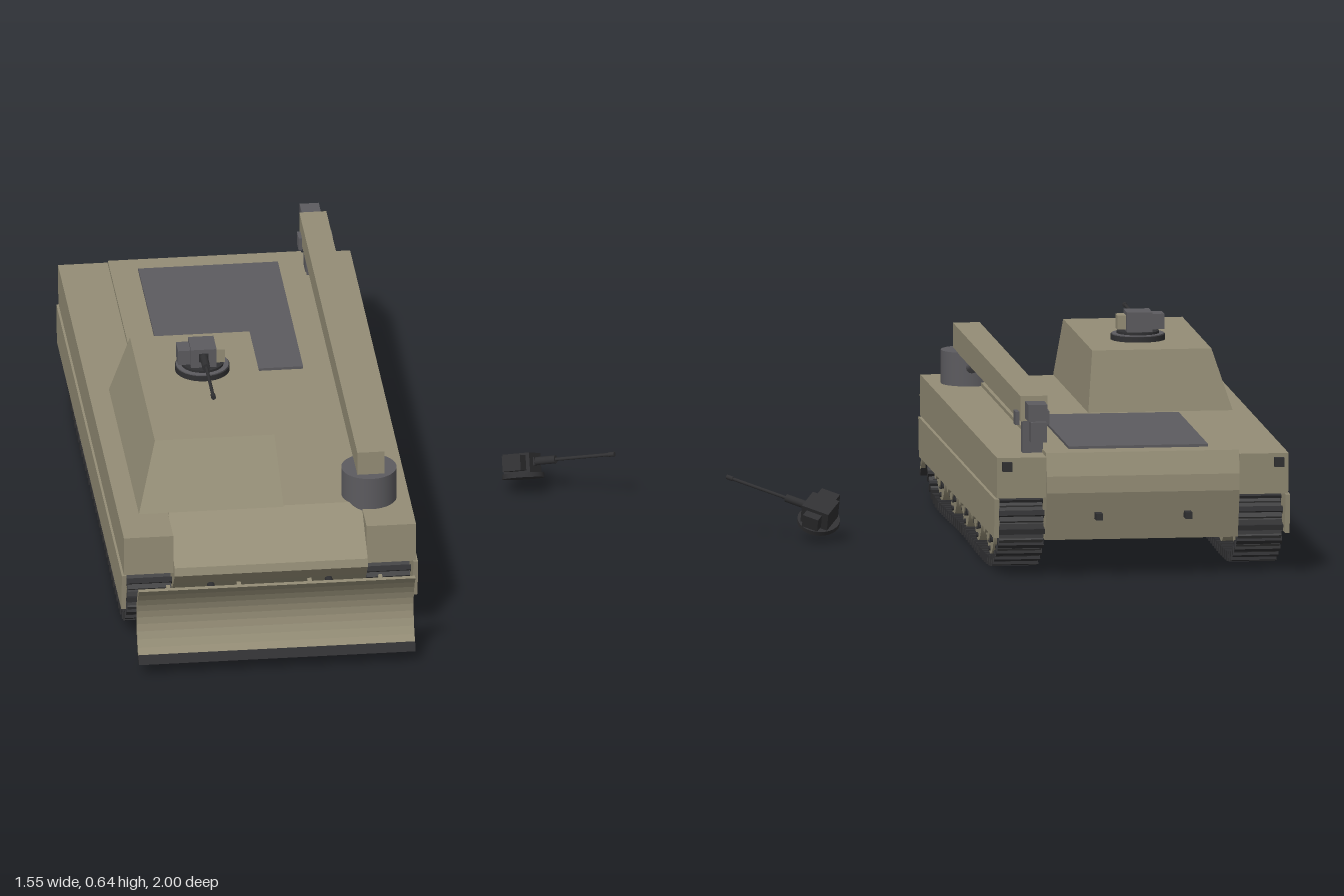
import * as THREE from 'three';
import { mergeGeometries } from 'three/addons/utils/BufferGeometryUtils.js';

const mat = (name, color) => new THREE.MeshStandardMaterial({ name, color });

export function createModel() {
  const tan = mat('armour tan', 0x948d76);
  const grey = mat('machinery grey', 0x5c5b5f);
  const dark = mat('dark metal', 0x303032);
  const trackGrey = mat('track grey', 0x444445);
  const root = new THREE.Group();
  root.name = 'armouredRecoveryVehicle';
  const CX = -0.335; // centre line of the vehicle

  const add = (name, geo, m, parent = root) => {
    const mesh = new THREE.Mesh(geo, m);
    mesh.name = name;
    parent.add(mesh);
    return mesh;
  };
  // box given by its limits
  const box = (name, x0, x1, y0, y1, z0, z1, m, parent) => {
    const g = new THREE.BoxGeometry(x1 - x0, y1 - y0, z1 - z0);
    g.translate((x0 + x1) / 2, (y0 + y1) / 2, (z0 + z1) / 2);
    return add(name, g, m, parent);
  };
  // side outline of [z, y] points, extruded from x0 to x1
  const profile = (name, pts, x0, x1, m, parent) => {
    const shape = new THREE.Shape(pts.map(([z, y]) => new THREE.Vector2(z, y)));
    const g = new THREE.ExtrudeGeometry(shape, { depth: x1 - x0, bevelEnabled: false });
    g.rotateY(-Math.PI / 2).translate(x1, 0, 0);
    return add(name, g, m, parent);
  };
  // round bar between two points
  const bar = (name, a, b, r, m, parent) => {
    const p = new THREE.Vector3(...a), q = new THREE.Vector3(...b);
    const d = q.clone().sub(p);
    const mesh = add(name, new THREE.CylinderGeometry(r, r, d.length(), 12), m, parent);
    mesh.position.copy(p).add(q).multiplyScalar(0.5);
    mesh.quaternion.setFromUnitVectors(new THREE.Vector3(0, 1, 0), d.normalize());
    return mesh;
  };
  const disc = (name, x, y0, y1, z, r, m, parent) => {
    const g = new THREE.CylinderGeometry(r, r, y1 - y0, 32);
    g.translate(x, (y0 + y1) / 2, z);
    return add(name, g, m, parent);
  };

  // hull
  profile('hull', [[0.67, 0.368], [0.84, 0.265], [0.845, 0.24], [0.81, 0.2], [0.72, 0.105], [-0.93, 0.105],
    [-0.975, 0.25], [-0.975, 0.3], [-0.955, 0.368]], CX - 0.287, CX + 0.287, tan);
  box('engineDeck', -0.54, -0.125, 0.366, 0.376, -0.88, -0.2, grey);

  // turret: a box tapered toward the roof
  const tg = new THREE.BoxGeometry(1, 1, 1).toNonIndexed();
  const tp = tg.attributes.position;
  for (let i = 0; i < tp.count; i++) {
    const top = tp.getY(i) > 0;
    const x = tp.getX(i) < 0 ? (top ? -0.65 : -0.71) : (top ? -0.295 : -0.28);
    const z = tp.getZ(i) < 0 ? (top ? -0.105 : -0.13) : (top ? 0.565 : 0.68);
    tp.setXYZ(i, x, top ? 0.55 : 0.368, z);
  }
  tg.computeVertexNormals();
  add('turret', tg, tan);

  // track path in [z, y]
  const path = new THREE.CatmullRomCurve3([[0.6, 0.016], [0, 0.016], [-0.72, 0.016], [-0.8, 0.04], [-0.905, 0.115],
    [-0.905, 0.175], [-0.84, 0.222], [0, 0.222], [0.7, 0.222], [0.77, 0.175], [0.77, 0.11], [0.69, 0.04]]
    .map(([z, y]) => new THREE.Vector3(0, y, z)), true, 'centripetal');
  const SHOES = 76;
  const trackParts = { shoe: [], pad: [] };
  for (let i = 0; i < SHOES; i++) {
    const p = path.getPointAt(i / SHOES), t = path.getTangentAt(i / SHOES);
    const place = (g) => g.rotateX(Math.atan2(t.y, -t.z)).translate(0, p.y, p.z);
    trackParts.shoe.push(place(new THREE.BoxGeometry(0.13, 0.012, 0.045)));
    trackParts.pad.push(place(new THREE.BoxGeometry(0.136, 0.03, 0.016)));
  }
  const shoes = mergeGeometries(trackParts.shoe), pads = mergeGeometries(trackParts.pad);

  const wheel = (name, r, x, y, z, s, parent) => {
    const w = new THREE.Group();
    w.name = name;
    w.position.set(x, y, z);
    const cyl = (n, rad, len, off, m) =>
      add(n, new THREE.CylinderGeometry(rad, rad, len, 24).rotateZ(Math.PI / 2).translate(s * off, 0, 0), m, w);
    cyl('wheelDisc', r, 0.09, 0, tan);
    cyl('wheelRim', r * 0.6, 0.006, 0.047, trackGrey);
    cyl('wheelDish', r * 0.52, 0.012, 0.047, tan);
    cyl('hub', r * 0.24, 0.026, 0.05, tan);
    for (let k = 0; k < 6; k++) {
      const a = k * Math.PI / 3;
      const hole = new THREE.CylinderGeometry(r * 0.09, r * 0.09, 0.008, 8).rotateZ(Math.PI / 2);
      add('wheelHole', hole.translate(s * 0.046, Math.cos(a) * r * 0.8, Math.sin(a) * r * 0.8), dark, w);
    }
    parent.add(w);
  };

  // sponsons, skirts and running gear on both sides
  for (const s of [-1, 1]) {
    const side = new THREE.Group();
    side.name = s > 0 ? 'leftSide' : 'rightSide';
    root.add(side);
    const span = (a, b) => (s > 0 ? [CX + a, CX + b] : [CX - b, CX - a]);
    profile('sponson', [[0.81, 0.357], [0.81, 0.235], [-0.955, 0.235], [-0.965, 0.357]], ...span(0.287, 0.434), tan, side);
    profile('sideSkirt', [[0.81, 0.232], [0.795, 0.115], [-0.94, 0.115], [-0.955, 0.232]], ...span(0.426, 0.44), tan, side);
    const tx = CX + s * 0.355;
    add('trackShoes', shoes, trackGrey, side).position.x = tx;
    add('trackPads', pads, dark, side).position.x = tx;
    for (let i = 0; i < 5; i++) wheel('roadWheel', 0.083, tx + s * 0.01, 0.107, 0.51 - i * 0.2825, s, side);
    for (let i = 0; i < 4; i++) wheel('innerWheel', 0.078, tx - s * 0.015, 0.107, 0.369 - i * 0.2825, s, side);
    wheel('idler', 0.078, tx, 0.14, 0.67, s, side);
    wheel('sprocket', 0.078, tx, 0.14, -0.81, s, side);
    // rear light and tow hook
    const lx = CX + s * 0.405, hx = CX + s * 0.133;
    box('rearLight', lx - 0.014, lx + 0.014, 0.318, 0.345, -0.982, -0.955, dark, side);
    box('towHook', hx - 0.01, hx + 0.01, 0.17, 0.19, -0.998, -0.94, dark, side);
    // blade arms and rams
    const ax = CX + s * 0.242, rx = CX + s * 0.175;
    box('bladeArm', ax - 0.018, ax + 0.018, 0.09, 0.122, 0.7, 0.935, grey, side);
    bar('bladeRam', [rx, 0.18, 0.77], [rx, 0.208, 0.94], 0.011, dark, side);
  }

  // dozer blade with a hollow front, cutting edge and ribs
  const front = new THREE.QuadraticBezierCurve(new THREE.Vector2(0.995, 0.272), new THREE.Vector2(0.895, 0.16),
    new THREE.Vector2(0.985, 0.052)).getPoints(10).map((p) => [p.x, p.y]);
  const back = front.slice().reverse().map(([z, y]) => [z - 0.017, y]);
  profile('dozerBlade', [...front, ...back], -0.745, 0.077, tan);
  profile('cuttingEdge', [[0.985, 0.056], [1.0, 0.032], [0.975, 0.032], [0.958, 0.056]], -0.745, 0.077, dark);
  for (const x of [-0.65, -0.44, -0.23, -0.02])
    profile('bladeRib', [[0.962, 0.25], [0.93, 0.16], [0.962, 0.05], [0.917, 0.05], [0.915, 0.25]], x - 0.006, x + 0.006, tan);

  // crane
  const crane = new THREE.Group();
  crane.name = 'crane';
  root.add(crane);
  disc('craneBase', -0.02, 0.35, 0.457, 0.62, 0.082, grey, crane);
  box('boom', -0.06, 0.02, 0.455, 0.53, -0.89, 0.67, tan, crane);
  bar('boomRam', [-0.02, 0.41, 0.56], [-0.02, 0.458, 0.32], 0.018, grey, crane);
  box('boomExtension', -0.05, 0.007, 0.465, 0.515, -0.975, -0.88, grey, crane);
  box('hookBlock', -0.045, 0.002, 0.405, 0.465, -0.995, -0.945, grey, crane);
  box('boomRestPost', -0.05, 0.01, 0.355, 0.455, -0.865, -0.82, grey, crane);
  for (const x of [-0.07, 0.02]) box('boomRestCheek', x, x + 0.012, 0.44, 0.48, -0.865, -0.82, grey, crane);

  // remote weapon station, standing on its own origin and aiming along +z
  const station = (name, body, trim) => {
    const g = new THREE.Group();
    g.name = name;
    disc('stationDisc', 0, 0, 0.014, 0, 0.063, dark, g);
    box('stationBody', -0.038, 0.038, 0.014, 0.073, -0.045, 0.042, body, g);
    box('ammoBox', -0.075, -0.038, 0.02, 0.066, -0.03, 0.03, body, g);
    box('sightBox', 0.038, 0.064, 0.02, 0.062, -0.025, 0.025, trim, g);
    box('sightWindow', -0.014, 0.014, 0.034, 0.06, 0.042, 0.046, dark, g);
    bar('gunSleeve', [0, 0.048, 0.03], [0, 0.048, 0.11], 0.012, dark, g);
    bar('gunBarrel', [0, 0.048, 0.1], [0, 0.048, 0.3], 0.005, dark, g);
    bar('muzzle', [0, 0.048, 0.285], [0, 0.048, 0.305], 0.007, dark, g);
    root.add(g);
    return g;
  };
  disc('stationRing', -0.46, 0.548, 0.566, 0.12, 0.081, dark);
  disc('stationRingTop', -0.46, 0.566, 0.569, 0.12, 0.078, grey);
  station('turretWeaponStation', grey, tan).position.set(-0.46, 0.562, 0.12);

  // detached station, tilted beside the vehicle
  const loose = station('detachedWeaponStation', dark, dark);
  const aim = new THREE.Vector3(0.848, 0.275, 0.455).normalize();
  const left = new THREE.Vector3(0, 0.86, -0.51).cross(aim).normalize();
  const up = aim.clone().cross(left);
  loose.quaternion.setFromRotationMatrix(new THREE.Matrix4().makeBasis(left, up, aim));
  loose.position.set(0.513, 0.044, -0.05);

  return root;
}
